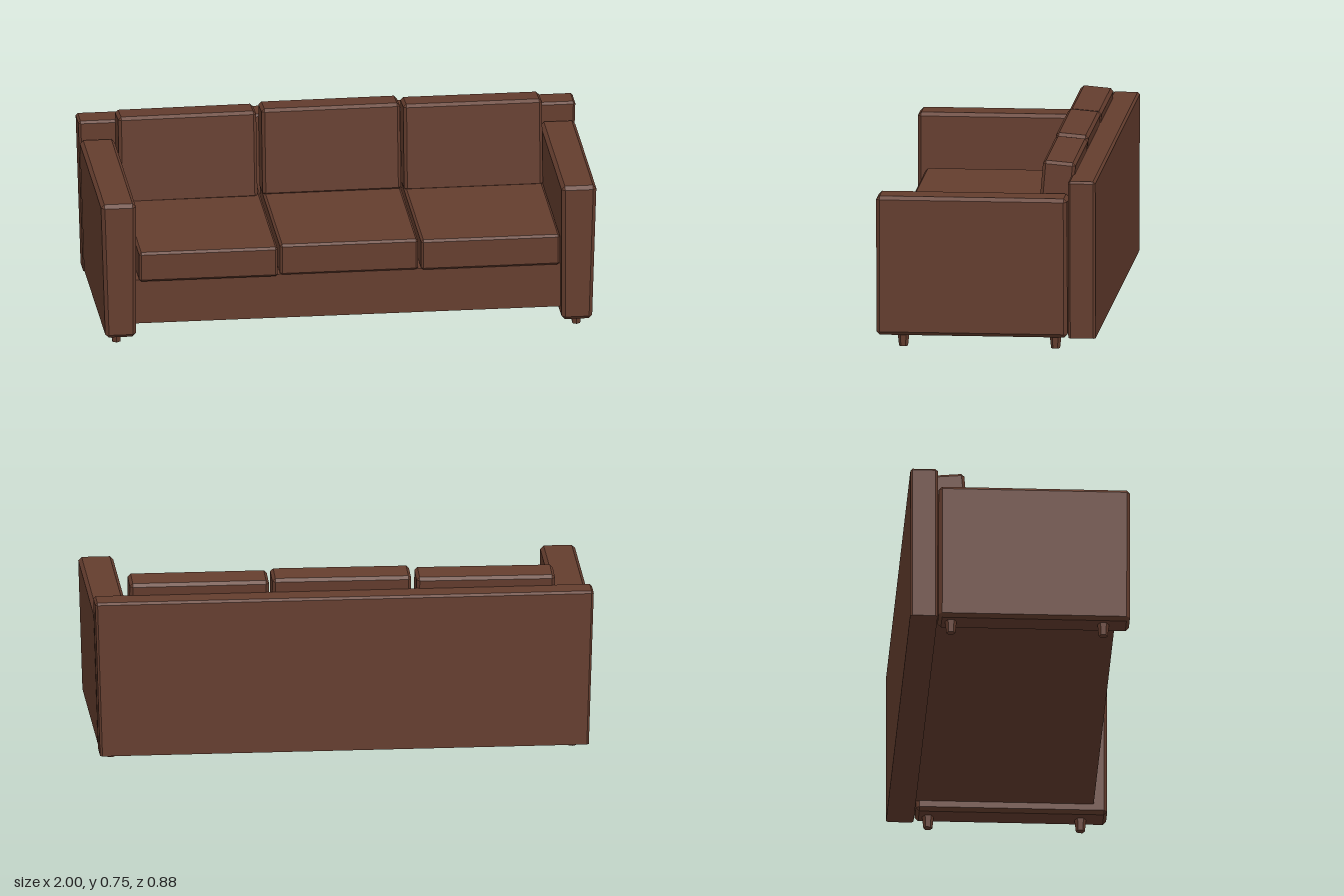
import * as THREE from 'three';
import { ConvexGeometry } from 'three/addons/geometries/ConvexGeometry.js';

const leather = new THREE.MeshStandardMaterial({ color: 0x643d2e });
leather.name = 'brown leather';

// Box of given size around the origin with chamfered edges; the bottom can stay sharp
function chamferBox(w, h, d, c, sharpBottom = false) {
  const points = [];
  for (const sx of [-1, 1]) for (const sy of [-1, 1]) for (const sz of [-1, 1]) {
    const x = w / 2, y = h / 2, z = d / 2;
    const cy = sharpBottom && sy < 0 ? 0 : c;
    points.push(
      new THREE.Vector3(sx * x, sy * (y - cy), sz * (z - c)),
      new THREE.Vector3(sx * (x - c), sy * (y - cy), sz * z));
    if (cy) points.push(new THREE.Vector3(sx * (x - c), sy * y, sz * (z - c)));
  }
  return new ConvexGeometry(points);
}

// Pull the outer sides inward towards the floor
function taperSides(geometry) {
  const p = geometry.attributes.position;
  for (let i = 0; i < p.count; i++) {
    const x = p.getX(i);
    if (Math.abs(x) > 0.93) p.setX(i, x - Math.sign(x) * 0.02 * (0.69 - p.getY(i)) / 0.64);
  }
  geometry.computeVertexNormals();
  return geometry;
}

export function createModel() {
  const sofa = new THREE.Group();
  sofa.name = 'sofa';
  const add = (name, geometry, x = 0, y = 0, z = 0) => {
    const mesh = new THREE.Mesh(geometry, leather);
    mesh.name = name;
    mesh.position.set(x, y, z);
    sofa.add(mesh);
    return mesh;
  };

  // Frame: back panel and seat base
  add('backPanel', taperSides(chamferBox(2, 0.64, 0.11, 0.009, true).translate(0, 0.37, -0.385)));
  add('seatBase', new THREE.BoxGeometry(1.72, 0.185, 0.725), 0, 0.1825, 0.0225);

  // Arms and legs, mirrored
  for (const [side, s] of [['left', 1], ['right', -1]]) {
    const arm = chamferBox(0.143, 0.567, 0.766, 0.014).translate(s * 0.9275, 0.3335, 0.057);
    add(side + 'Arm', taperSides(arm));
    for (const [end, z] of [['Front', 0.335], ['Back', -0.275]]) {
      const leg = new THREE.CylinderGeometry(0.024, 0.018, 0.055, 6).toNonIndexed();
      leg.computeVertexNormals();
      add(side + end + 'Leg', leg, s * 0.925, 0.0275, z);
    }
  }

  // Seat cushions: left edge, right edge, top, front
  const seats = [[-0.84, -0.282, 0.396, 0.405], [-0.272, 0.284, 0.402, 0.393], [0.295, 0.854, 0.4, 0.4]];
  for (const [x0, x1, top, front] of seats) {
    const h = top - 0.272, d = front + 0.325;
    add('seatCushion', chamferBox(x1 - x0, h, d, 0.009), (x0 + x1) / 2, top - h / 2, front - d / 2);
  }

  // Back cushions leaning on the back panel: left edge, right edge, height offset, roll
  const backs = [[-0.851, -0.296, -0.008, 0.006], [-0.275, 0.282, 0.002, 0.004], [0.295, 0.853, -0.004, 0]];
  for (const [x0, x1, dy, roll] of backs) {
    const cushion = add('backCushion', chamferBox(x1 - x0, 0.36, 0.131, 0.012), (x0 + x1) / 2, 0.567 + dy, -0.268);
    cushion.rotation.set(-0.085, 0, roll);
  }
  return sofa;
}
